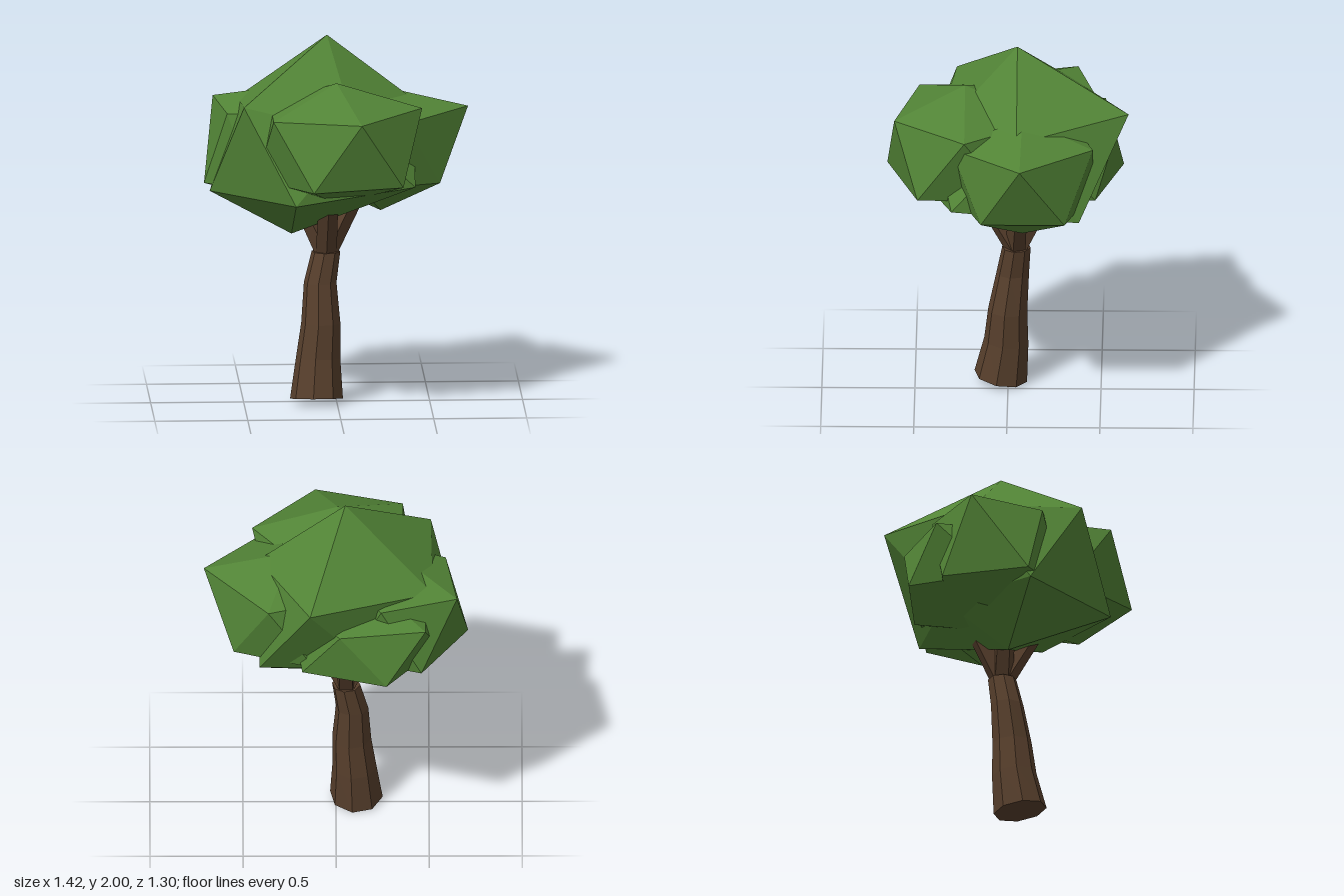
import * as THREE from 'three';

const leafGreen = new THREE.MeshStandardMaterial({ color: 0x528436, flatShading: true });
leafGreen.name = 'leaf green';
const barkBrown = new THREE.MeshStandardMaterial({ color: 0x573f2c, flatShading: true });
barkBrown.name = 'bark brown';

function facetedMesh(name, points, faces, material) {
  let geometry = new THREE.BufferGeometry();
  geometry.setAttribute('position', new THREE.Float32BufferAttribute(points.flat(), 3));
  geometry.setIndex(faces.flat());
  geometry = geometry.toNonIndexed();
  geometry.computeVertexNormals();
  const mesh = new THREE.Mesh(geometry, material);
  mesh.name = name;
  return mesh;
}

// Squashed icosahedron: two rings of five and two poles; moved = corners pulled out of place
// Corners: 0 top, 1-5 upper ring, 6-10 lower ring, 11 bottom
function leafClump({ name, centre: [x, y, z], radius, ring, top, bottom, moved }) {
  const points = [[x, top, z]];
  for (const [start, height] of [[0, ring], [36, -ring]]) {
    for (let i = 0; i < 5; i++) {
      const a = THREE.MathUtils.degToRad(start + i * 72);
      points.push([x + radius * Math.cos(a), y + height, z + radius * Math.sin(a)]);
    }
  }
  points.push([x, bottom, z]);
  for (const k in moved) points[k] = moved[k];

  const faces = [];
  for (let i = 0; i < 5; i++) {
    const j = (i + 1) % 5;
    const u = 1 + i, u2 = 1 + j, l = 6 + i, l2 = 6 + j;
    faces.push([0, u2, u], [u, u2, l], [u2, l2, l], [11, l, l2]);
  }
  return facetedMesh(name, points, faces, leafGreen);
}

// Bent trunk lofted through rings of [x, y, z, radius, tilt]
function trunk() {
  const sides = 8;
  const rings = [
    [-0.11, 0.025, 0.04, 0.143, 0.17],
    [-0.1, 0.24, 0.01, 0.12, 0.1],
    [-0.085, 0.43, 0.002, 0.106, 0.05],
    [-0.087, 0.65, -0.025, 0.088, 0],
    [-0.055, 0.815, -0.045, 0.077, 0],
  ];
  const points = [], faces = [];
  rings.forEach(([x, y, z, r, tilt], k) => {
    for (let i = 0; i < sides; i++) {
      const a = ((i + 0.2) / sides) * Math.PI * 2;
      points.push([x + r * Math.cos(a), y + r * Math.sin(a) * tilt, z + r * Math.sin(a)]);
      if (k === 0) continue;
      const j = (i + 1) % sides, lo = (k - 1) * sides, hi = k * sides;
      faces.push([lo + i, hi + i, hi + j], [lo + i, hi + j, lo + j]);
    }
  });
  // end caps
  const last = (rings.length - 1) * sides;
  for (let i = 1; i < sides - 1; i++) {
    faces.push([0, i, i + 1], [last, last + i + 1, last + i]);
  }
  return facetedMesh('trunk', points, faces, barkBrown);
}

function branch(tip) {
  const from = new THREE.Vector3(-0.055, 0.81, -0.045);
  const to = new THREE.Vector3(...tip);
  const along = to.clone().sub(from);
  const mesh = new THREE.Mesh(new THREE.CylinderGeometry(0.055, 0.06, along.length(), 5), barkBrown);
  mesh.position.copy(from).add(to).multiplyScalar(0.5);
  mesh.quaternion.setFromUnitVectors(new THREE.Vector3(0, 1, 0), along.normalize());
  mesh.name = 'branch';
  return mesh;
}

export function createModel() {
  const tree = new THREE.Group();
  tree.name = 'tree';
  tree.add(trunk());

  const branches = new THREE.Group();
  branches.name = 'branches';
  for (const tip of [[0.09, 1.1, -0.06], [-0.18, 1.08, -0.06], [-0.05, 1.1, 0.12], [-0.05, 1.1, -0.19]]) {
    branches.add(branch(tip));
  }
  tree.add(branches);

  const crown = new THREE.Group();
  crown.name = 'crown';
  const clumps = [
    { name: 'mainClump', centre: [-0.05, 1.42, -0.05], radius: 0.57, ring: 0.25, top: 2, bottom: 0.91,
      moved: { 1: [0.42, 1.64, -0.05], 2: [0.09, 1.54, 0.39], 3: [-0.51, 1.67, 0.28],
        4: [-0.52, 1.61, -0.32], 5: [0.14, 1.69, -0.65], 6: [0.41, 1.23, 0.3], 7: [-0.24, 1.17, 0.51],
        8: [-0.68, 1.15, -0.05], 9: [-0.2, 1.17, -0.4], 11: [-0.24, 0.91, -0.06] } },
    { name: 'frontClump', centre: [-0.01, 1.45, 0.23], radius: 0.43, ring: 0.185, top: 1.79, bottom: 1.13,
      moved: { 1: [0.45, 1.65, 0.23], 2: [0.11, 1.63, 0.61], 3: [-0.36, 1.63, 0.48], 7: [-0.15, 1.27, 0.65] } },
    { name: 'leftClump', centre: [0.24, 1.4, -0.08], radius: 0.4, ring: 0.18, top: 1.71, bottom: 1.03,
      moved: { 1: [0.71, 1.6, -0.07], 6: [0.55, 1.22, 0.14], 10: [0.55, 1.22, -0.31] } },
    { name: 'rightClump', centre: [-0.35, 1.4, -0.15], radius: 0.35, ring: 0.2, top: 1.7, bottom: 1.08,
      moved: { 0: [-0.42, 1.68, -0.17], 3: [-0.59, 1.59, 0.04], 4: [-0.65, 1.61, -0.37], 8: [-0.71, 1.19, -0.07] } },
    { name: 'backClump', centre: [-0.15, 1.35, -0.23], radius: 0.41, ring: 0.15, top: 1.65, bottom: 1.05,
      moved: { 4: [-0.48, 1.5, -0.52], 5: [-0.02, 1.5, -0.58], 9: [-0.27, 1.21, -0.62] } },
  ];
  for (const clump of clumps) crown.add(leafClump(clump));
  tree.add(crown);
  return tree;
}
